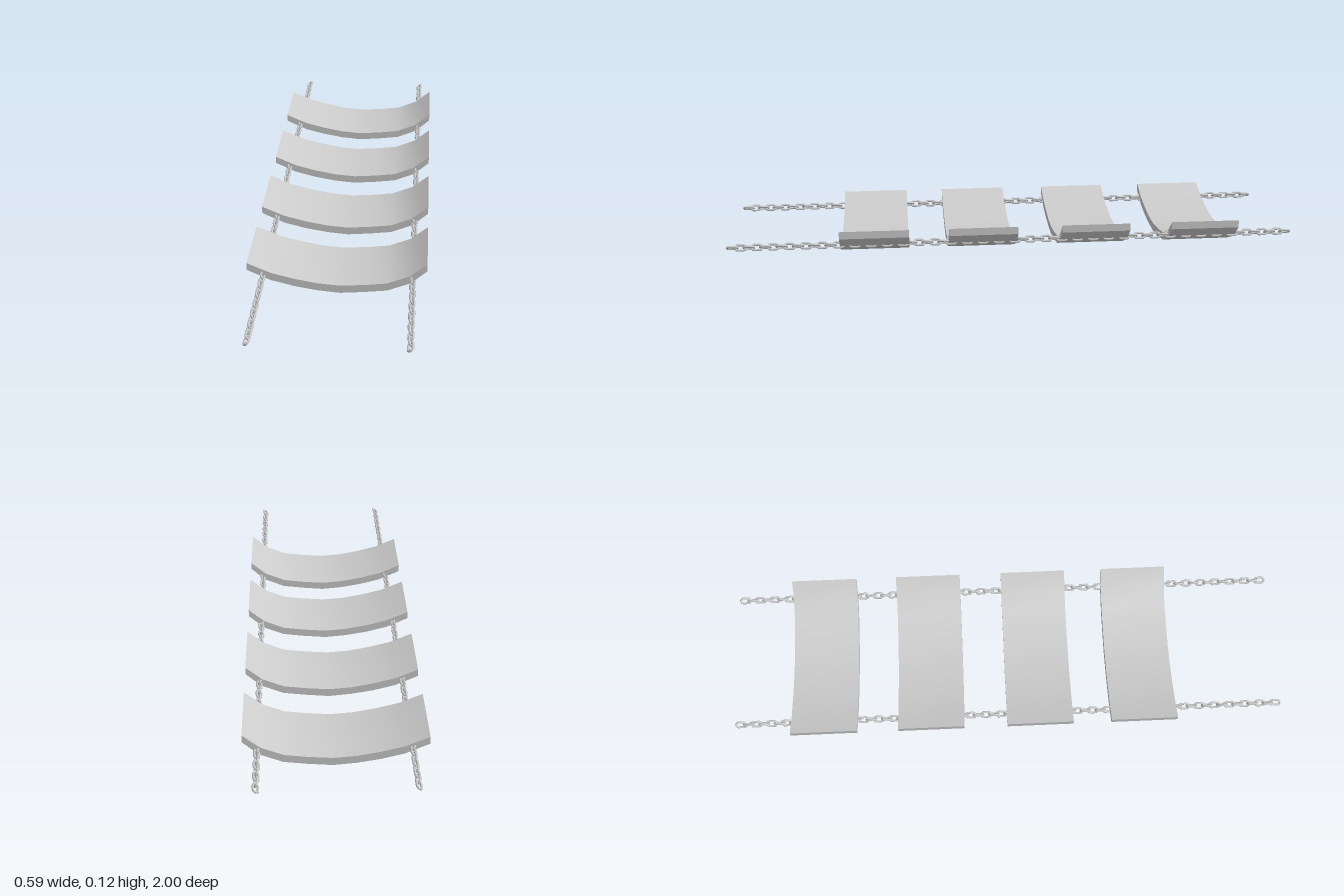
import * as THREE from 'three';
import { mergeGeometries, toCreasedNormals } from 'three/addons/utils/BufferGeometryUtils.js';

const material = new THREE.MeshStandardMaterial({ color: 0xcccccc });

// Sagging slat: a curved strip profile extruded along z
function slatGeometry(depth) {
  const upper = [[-0.295, 0.103], [-0.217, 0.069], [-0.14, 0.049], [-0.065, 0.035], [0.01, 0.029],
    [0.09, 0.035], [0.163, 0.044], [0.236, 0.074], [0.293, 0.122]];
  const lower = [[-0.295, 0.077], [-0.217, 0.041], [-0.14, 0.021], [-0.065, 0.008], [0.01, 0.001],
    [0.09, 0.008], [0.165, 0.017], [0.24, 0.048], [0.293, 0.096]];
  const outline = [...lower, ...upper.reverse()].map(([x, y]) => new THREE.Vector2(x, y));
  const geometry = new THREE.ExtrudeGeometry(new THREE.Shape(outline), { depth, bevelEnabled: false });
  geometry.translate(0, 0, -depth / 2);
  return toCreasedNormals(geometry, Math.PI / 6);
}

// Oval chain link: a torus whose halves are pulled apart, laid along z
function linkGeometry(radius, wire, stretch) {
  const geometry = new THREE.TorusGeometry(radius, wire, 6, 14);
  const p = geometry.attributes.position;
  for (let i = 0; i < p.count; i++) p.setX(i, p.getX(i) + Math.sign(p.getX(i)) * stretch);
  geometry.rotateX(Math.PI / 2);
  geometry.rotateY(Math.PI / 2);
  return geometry;
}

// Chain of alternately turned links
function chainGeometry(count, pitch) {
  const link = linkGeometry(0.0095, 0.004, 0.0085);
  const links = [];
  for (let i = 0; i < count; i++) {
    const turn = THREE.MathUtils.degToRad(i % 2 ? 122 : 38);
    links.push(link.clone().rotateZ(turn).translate(0, 0, (i - (count - 1) / 2) * pitch));
  }
  return mergeGeometries(links);
}

export function createModel() {
  const model = new THREE.Group();
  model.name = 'chainBridge';

  // Four slats
  const slat = slatGeometry(0.24);
  [-0.672, -0.283, 0.112, 0.49].forEach((z, i) => {
    const mesh = new THREE.Mesh(slat, material);
    mesh.name = `slat${i + 1}`;
    mesh.position.z = z;
    model.add(mesh);
  });

  // Two chains running through the slats
  const chain = chainGeometry(71, 0.0279);
  for (const [name, x] of [['leftChain', 0.247], ['rightChain', -0.242]]) {
    const mesh = new THREE.Mesh(chain, material);
    mesh.name = name;
    mesh.position.set(x, 0.062, 0);
    model.add(mesh);
  }
  return model;
}
